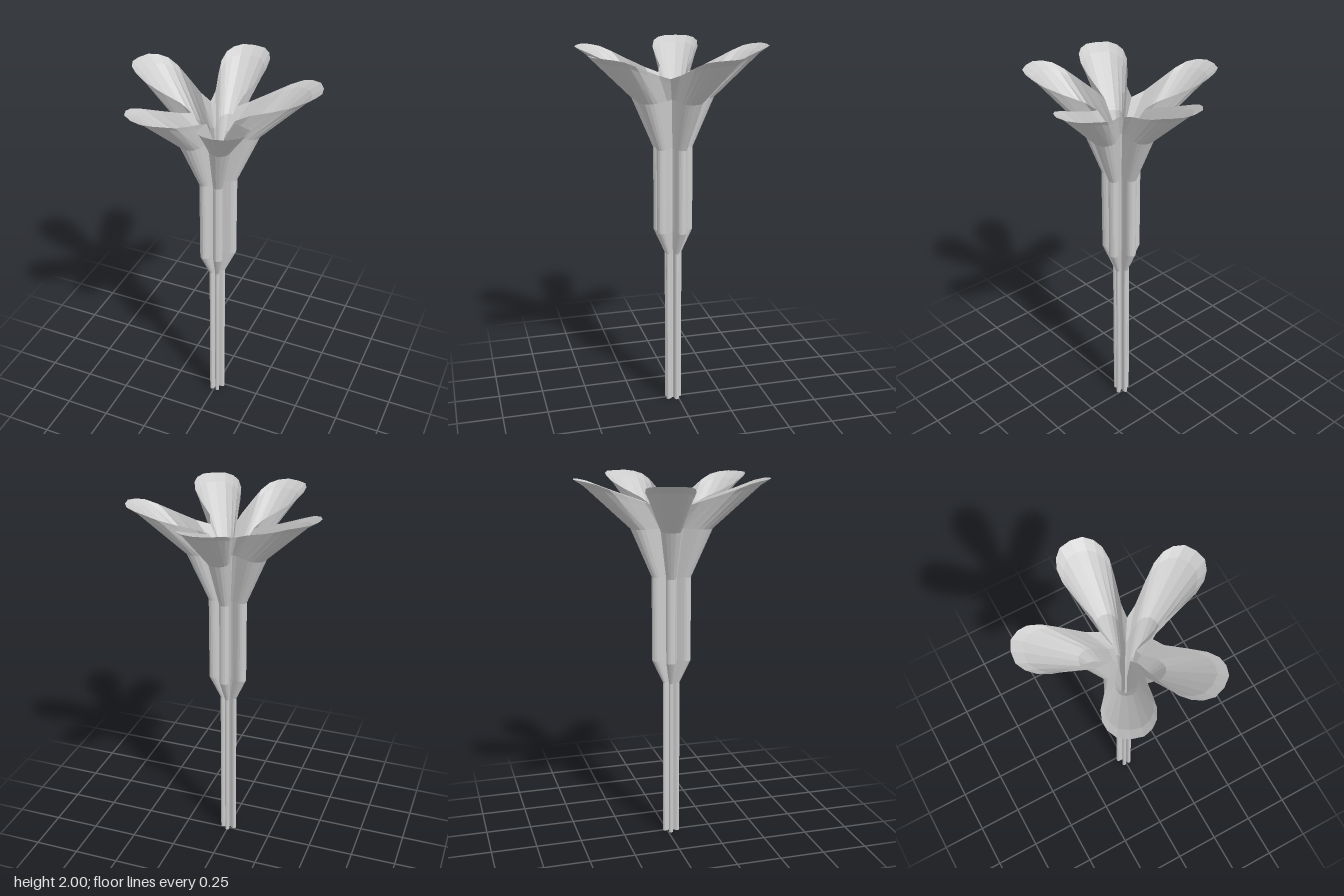
import * as THREE from 'three';

// Bearing of each petal, measured from the back (-z) towards +x, in degrees
const BEARINGS = [-0.7, 68.5, 151.5, 206, 286.5];
const CENTRE = { x: 0.002, z: 0.025 };

// Half outline of a unit petal: distance along, half width, rim height
const HALF = [
  [0.32, 0.145, 1.885], [0.54, 0.205, 1.925], [0.70, 0.24, 1.957], [0.82, 0.232, 1.982],
  [0.91, 0.19, 1.994], [0.98, 0.115, 2.0],
];
const NOTCH = { r: 0.24, y: 1.86 };

// Five-lobed unit outline as {x, z, rimY, along}
function lobedOutline() {
  const pts = [];
  const petal = [
    ...HALF.map(([a, w, y]) => [a, -w, y]),
    [1, 0, 2],
    ...HALF.slice().reverse(),
  ];
  BEARINGS.forEach((deg, i) => {
    const t = THREE.MathUtils.degToRad(deg);
    for (const [a, w, y] of petal) {
      pts.push({
        x: a * Math.sin(t) + w * Math.cos(t),
        z: -a * Math.cos(t) + w * Math.sin(t),
        rimY: y, along: a,
      });
    }
    // notch between this petal and the next
    const next = i < 4 ? BEARINGS[i + 1] : BEARINGS[0] + 360;
    const n = THREE.MathUtils.degToRad((deg + next) / 2);
    pts.push({ x: NOTCH.r * Math.sin(n), z: -NOTCH.r * Math.cos(n), rimY: NOTCH.y, along: 0.2 });
  });
  return pts;
}

const OUTLINE = lobedOutline();

// Level section: the outline scaled to a radius at one height
const section = (r, y) =>
  OUTLINE.map((p) => new THREE.Vector3(CENTRE.x + p.x * r, y, CENTRE.z + p.z * r));

// Skin a stack of sections, open at both ends
function loft(rings) {
  const n = rings[0].length;
  const index = [];
  for (let k = 0; k < rings.length - 1; k++) {
    for (let i = 0; i < n; i++) {
      const a = k * n + i, b = k * n + ((i + 1) % n);
      index.push(a, a + n, b, b, a + n, b + n);
    }
  }
  const geo = new THREE.BufferGeometry().setFromPoints(rings.flat());
  geo.setIndex(index);
  geo.computeVertexNormals();
  return geo;
}

export function createModel() {
  const group = new THREE.Group();
  const material = new THREE.MeshStandardMaterial({
    color: 0xcccccc, flatShading: true, side: THREE.DoubleSide,
  });
  const add = (name, geo) => {
    const mesh = new THREE.Mesh(geo, material);
    mesh.name = name;
    group.add(mesh);
  };

  // Flared rim, and the softer ring just inside it
  const throat = section(0.22, 1.74);
  const rim = section(0.515, 2).map((v, i) => v.setY(OUTLINE[i].rimY));
  const innerRim = throat.map((v, i) => {
    const p = v.clone().lerp(rim[i], 0.82);
    p.y += 0.012 * OUTLINE[i].along ** 2;
    return p;
  });

  add('stem', loft([section(0.047, 0), section(0.047, 0.89)]));
  add('tube', loft([section(0.047, 0.89), section(0.107, 1.02), section(0.107, 1.48)]));
  add('petals', loft([section(0.107, 1.48), throat, innerRim, rim]));

  // Closed foot of the stem
  const foot = new THREE.ShapeGeometry(
    new THREE.Shape(section(0.047, 0).map((v) => new THREE.Vector2(v.x, v.z))));
  foot.rotateX(Math.PI / 2);
  add('stemBase', foot);

  return group;
}
